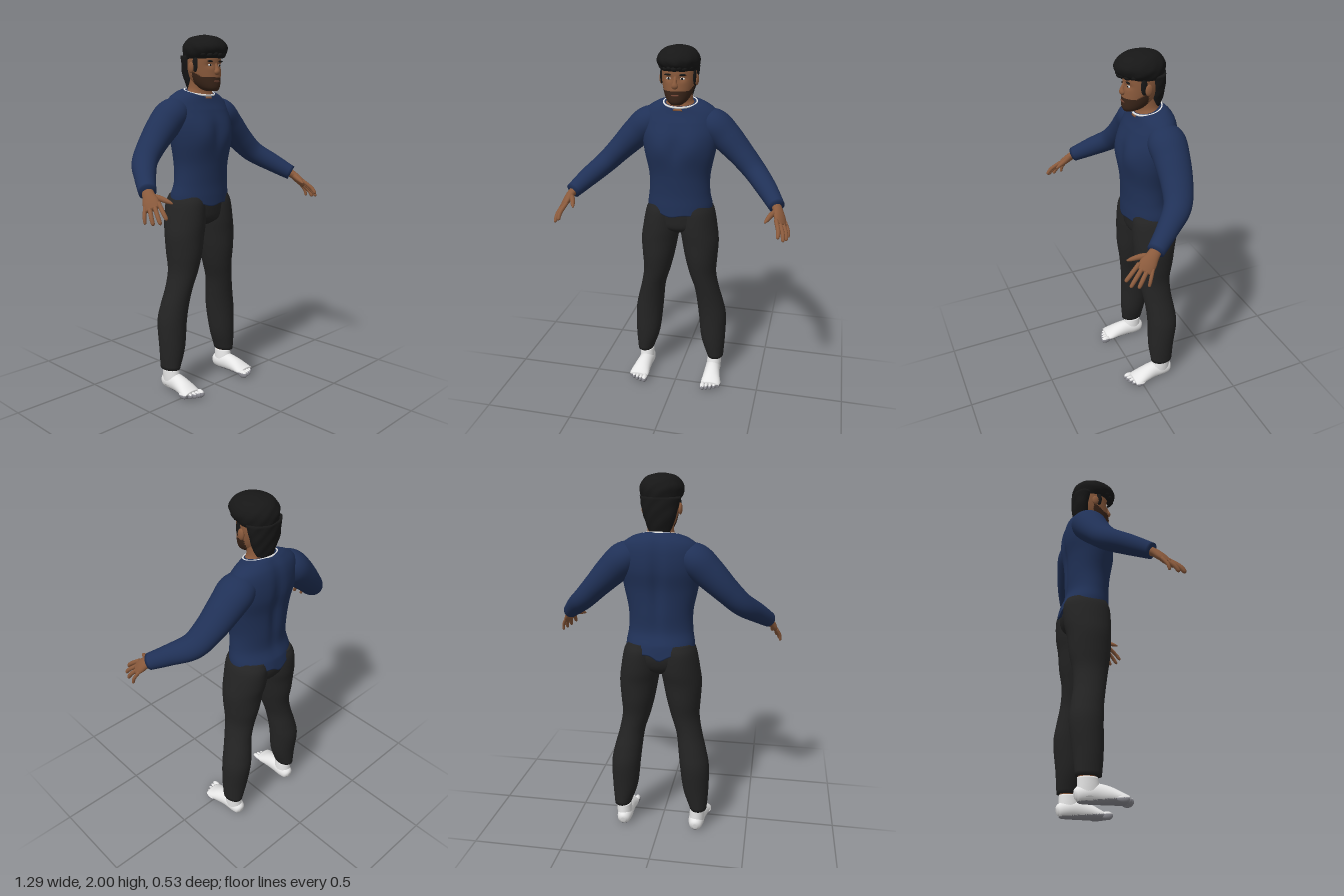
import * as THREE from 'three';

const mat = (name, color) => Object.assign(new THREE.MeshStandardMaterial({ color }), { name });
const M = {
  shirt: mat('navy shirt', 0x203157), trousers: mat('black trousers', 0x242424),
  skin: mat('brown skin', 0x8a5a3c), beard: mat('dark beard', 0x3a2519),
  hair: mat('black hair', 0x171717), white: mat('white', 0xe6e6e6),
  sole: mat('grey sole', 0x8b8b92), lips: mat('lips', 0x6e4232),
};
const V = (x, y, z) => new THREE.Vector3(x, y, z);

// Smooth closed loft through stations [x, y, z, a, b]; b lies along ref, a across it.
// flat keeps all rings horizontal; mod(v) reshapes each surface point.
function loft(st, { n = 32, steps = 6, ref = V(0, 0, 1), flat = false, mod } = {}) {
  const path = new THREE.CatmullRomCurve3(st.map(s => V(s[0], s[1], s[2])), false, 'catmullrom', 0.5);
  const size = new THREE.CatmullRomCurve3(st.map(s => V(s[3], s[4], 0)), false, 'catmullrom', 0.5);
  const rows = (st.length - 1) * steps, pos = [], idx = [];
  for (let i = 0; i <= rows; i++) {
    const c = path.getPoint(i / rows), r = size.getPoint(i / rows);
    const T = flat ? V(0, 1, 0) : path.getTangent(i / rows);
    const B = ref.clone().addScaledVector(T, -ref.dot(T)).normalize();
    const A = B.clone().cross(T);
    for (let j = 0; j < n; j++) {
      const q = j / n * Math.PI * 2;
      const v = c.clone().addScaledVector(A, r.x * Math.cos(q)).addScaledVector(B, r.y * Math.sin(q));
      if (mod) mod(v);
      pos.push(v.x, v.y, v.z);
    }
  }
  for (let i = 0; i < rows; i++) for (let j = 0; j < n; j++) {
    const p = i * n + j, q = i * n + (j + 1) % n;
    idx.push(p, q, q + n, p, q + n, p + n);
  }
  // end caps
  for (const end of [0, rows]) {
    const c = V(0, 0, 0), k = pos.length / 3;
    for (let j = 0; j < n; j++) c.add(V(...pos.slice((end * n + j) * 3, (end * n + j) * 3 + 3)));
    c.divideScalar(n);
    pos.push(c.x, c.y, c.z);
    for (let j = 0; j < n; j++) {
      const p = end * n + j, q = end * n + (j + 1) % n;
      if (end) idx.push(k, p, q); else idx.push(k, q, p);
    }
  }
  const g = new THREE.BufferGeometry();
  g.setAttribute('position', new THREE.Float32BufferAttribute(pos, 3));
  g.setIndex(idx);
  g.computeVertexNormals();
  return g;
}

const ellipsoid = (x, y, z, a, b, c) => new THREE.SphereGeometry(1, 20, 14).scale(a, b, c).translate(x, y, z);

// Splits faces into two material groups by a rule on the face centre.
function split(g, rule) {
  const p = g.attributes.position, lists = [[], []], ix = g.index.array;
  for (let i = 0; i < ix.length; i += 3) {
    const c = V(0, 0, 0);
    for (let k = 0; k < 3; k++) c.add(V(0, 0, 0).fromBufferAttribute(p, ix[i + k]));
    lists[rule(c.divideScalar(3)) ? 1 : 0].push(ix[i], ix[i + 1], ix[i + 2]);
  }
  g.setIndex([...lists[0], ...lists[1]]);
  g.addGroup(0, lists[0].length, 0);
  g.addGroup(lists[0].length, lists[1].length, 1);
  return g;
}

export function createModel() {
  const root = new THREE.Group();
  const add = (name, geo, material) => {
    const m = new THREE.Mesh(geo, material);
    m.name = name;
    root.add(m);
  };

  // shirt body: chest, spine groove, sloped collar and wavy hem
  add('shirtBody', loft([
    [0, 1.09, -.127, .186, .142], [0, 1.13, -.122, .185, .136], [0, 1.2, -.11, .174, .122],
    [0, 1.3, -.108, .174, .126], [0, 1.42, -.105, .198, .135], [0, 1.52, -.12, .215, .138],
    [0, 1.6, -.135, .212, .122], [0, 1.65, -.138, .195, .104], [0, 1.685, -.13, .145, .085],
    [0, 1.7, -.122, .1, .074]], {
    n: 64, steps: 8, flat: true, mod: v => {
      const g = (d, w) => Math.exp(-(d * d) / (w * w));
      const y = v.y;
      if (v.z < -.15) v.z += .018 * g(v.x, .03) * g(y - 1.45, .22);
      if (v.z > -.08) v.z += (.012 * g(Math.abs(v.x) - .09, .06) - .008 * g(v.x, .03)) * g(y - 1.47, .08);
      if (y > 1.6) v.y -= .25 * (v.z + .12) * (y - 1.6) / .1;
      if (y < 1.13) v.y -= (1.13 - y) / .04 * (.015 * g(v.x, .1) + (v.z < -.2 ? .02 * g(v.x + .01, .03) : 0) - .006 * Math.sin(v.x * 40));
    } }), M.shirt);
  const collar = new THREE.TorusGeometry(1, .06, 8, 48).rotateX(Math.PI / 2).scale(.092, .1, .077).rotateX(.25).translate(0, 1.696, -.118);
  add('undershirtCollar', collar, M.white);

  // trousers top
  add('trouserSeat', loft([[0, .955, -.12, .05, .06], [0, .99, -.122, .15, .108],
    [0, 1.05, -.128, .195, .125], [0, 1.12, -.125, .178, .125]], { flat: true, n: 40 }), M.trousers);

  // neck and head
  add('neck', loft([[0, 1.66, -.12, .1, .08], [0, 1.69, -.12, .083, .068], [0, 1.72, -.115, .068, .063],
    [0, 1.8, -.105, .066, .066]], { flat: true }), M.skin);
  const head = loft([[0, 1.7, -.02, .03, .03], [0, 1.72, -.045, .055, .065], [0, 1.76, -.07, .076, .09],
    [0, 1.82, -.085, .09, .1], [0, 1.88, -.088, .093, .1], [0, 1.94, -.085, .085, .09]],
  { n: 72, steps: 12, flat: true, mod: v => {
    if (v.z > -.03) v.z -= .008 * Math.exp(-((v.y - 1.838) ** 2) / .0002) * Math.exp(-((Math.abs(v.x) - .036) ** 2) / .0004);
  } });
  add('head', split(head, c => c.z > -.09 && c.y < 1.774 + .6 * Math.max(0, -.025 - c.z)), [M.skin, M.beard]);
  add('nose', loft([[0, 1.85, .006, .008, .007], [0, 1.82, .016, .011, .013], [0, 1.8, .019, .018, .016],
    [0, 1.789, .012, .01, .007]], { n: 16, flat: false }), M.skin);
  add('lips', ellipsoid(0, 1.752, .017, .022, .006, .007), M.lips);

  // hair crown with soft waves, fringe and back
  const wave = v => {
    const k = 1 + .022 * Math.sin(v.x * 75 + v.y * 30) * Math.sin(v.z * 70 + v.y * 55) * Math.min(1, (2.0 - v.y) / .05);
    v.x *= k;
    v.z = -.075 + (v.z + .075) * k;
  };
  add('hairCrown', loft([[0, 1.872, -.095, .096, .104], [0, 1.9, -.078, .11, .127], [0, 1.93, -.073, .114, .132],
    [0, 1.962, -.076, .1, .116], [0, 1.987, -.08, .07, .083], [0, 2, -.082, .02, .025]],
  { n: 56, steps: 8, flat: true, mod: wave }), M.hair);
  add('hairBack', loft([[0, 1.715, -.152, .055, .034], [0, 1.76, -.148, .073, .05], [0, 1.82, -.148, .091, .057],
    [0, 1.89, -.14, .104, .066]], { n: 40, flat: true, mod: wave }), M.hair);
  for (let i = -3; i <= 3; i++) {
    add('fringe', ellipsoid(i * .024, 1.893 + (i % 2 ? .004 : 0), .03 - .005 * i * i, .019, .018, .022), M.hair);
  }

  for (const s of [1, -1]) {
    const side = s > 0 ? 'left' : 'right';
    const part = (name, geo, m) => add(side + name, geo, m);
    const mir = st => st.map(([x, ...r]) => [s * x, ...r]);

    // face details
    part('Ear', ellipsoid(s * .096, 1.825, -.083, .011, .03, .02), M.skin);
    part('Sideburn', ellipsoid(s * .088, 1.845, -.06, .009, .045, .018), M.hair);
    part('Eye', ellipsoid(s * .036, 1.838, .001, .014, .006, .005), M.white);
    part('Iris', ellipsoid(s * .036, 1.838, .004, .006, .006, .004), M.hair);
    part('Brow', ellipsoid(s * .037, 1.858, .005, .022, .005, .007), M.hair);

    // sleeve
    part('Sleeve', loft(mir([[.1, 1.6, -.14, .06, .07], [.18, 1.575, -.143, .088, .1], [.255, 1.51, -.14, .084, .094],
      [.345, 1.42, -.125, .07, .083], [.425, 1.34, -.09, .061, .072], [.5, 1.275, .0, .054, .056],
      [.566, 1.213, .095, .042, .045]]), { n: 36, steps: 8 }), M.shirt);

    // hand, four fingers and thumb
    const index = V(s * .574, 1.158, .198), pinky = V(s * .617, 1.135, .135);
    part('Palm', loft(mir([[.55, 1.228, .07, .024, .028], [.572, 1.2, .11, .022, .032],
      [.587, 1.17, .143, .019, .042], [.6, 1.14, .172, .012, .038]]), { n: 24, ref: pinky.clone().sub(index) }), M.skin);
    [[.59, 1.1, .264], [.617, 1.08, .249], [.631, 1.073, .212], [.638, 1.072, .16]].forEach((t, i) => {
      const b = index.clone().lerp(pinky, i / 3), tip = V(s * t[0], t[1], t[2]);
      const m = b.clone().lerp(tip, .5).add(V(s * .006, .004, .003)), r = i === 3 ? .009 : .011;
      b.lerp(tip, -.25);
      part('Finger', loft([[...b, r, r], [...m, r, r], [...m.clone().lerp(tip, .8), r * .85, r * .85], [...tip, .003, .003]],
        { n: 12, steps: 5, ref: V(1, 0, 0) }), M.skin);
    });
    part('Thumb', loft(mir([[.57, 1.198, .115, .014, .016], [.543, 1.188, .16, .014, .015], [.527, 1.175, .2, .011, .011],
      [.517, 1.166, .224, .004, .004]]), { n: 14, ref: V(0, 1, 0) }), M.skin);

    // trouser leg
    part('TrouserLeg', loft(mir([[.222, .13, -.14, .048, .065], [.206, .25, -.14, .072, .077], [.197, .4, -.148, .082, .087],
      [.182, .5, -.14, .078, .085], [.162, .6, -.125, .072, .085], [.138, .7, -.116, .079, .094],
      [.128, .8, -.117, .094, .111], [.121, .9, -.12, .106, .119], [.11, .98, -.126, .107, .129],
      [.1, 1.08, -.13, .098, .13], [.09, 1.13, -.128, .085, .115]]), { n: 40, flat: true }), M.trousers);

    // foot in two colours with an ankle and five toes
    const isSole = c => c.y < .01 + .085 * (c.z + .2);
    part('AnkleSkin', loft(mir([[.217, .11, -.145, .036, .045], [.217, .15, -.145, .037, .046]]), { flat: true }), M.skin);
    part('Ankle', loft(mir([[.213, .03, -.135, .042, .062], [.215, .08, -.138, .043, .056],
      [.217, .125, -.143, .042, .05]]), { flat: true }), M.white);
    part('Foot', split(loft(mir([[.212, .036, -.205, .014, .018], [.212, .04, -.19, .034, .038], [.212, .047, -.15, .044, .047],
      [.214, .05, -.09, .045, .05], [.219, .042, -.03, .051, .042], [.223, .03, .02, .058, .03],
      [.224, .025, .05, .055, .022]]), { n: 40, ref: V(0, 1, 0) }), isSole), [M.white, M.sole]);
    for (let i = 0; i < 5; i++) {
      const r = i ? .0125 : .017;
      part('Toe', split(ellipsoid(s * (.181 + i * .0225), .023, .062 - .004 * i * i * .7, r, r + .006, .032), isSole), [M.white, M.sole]);
    }
  }
  return root;
}
